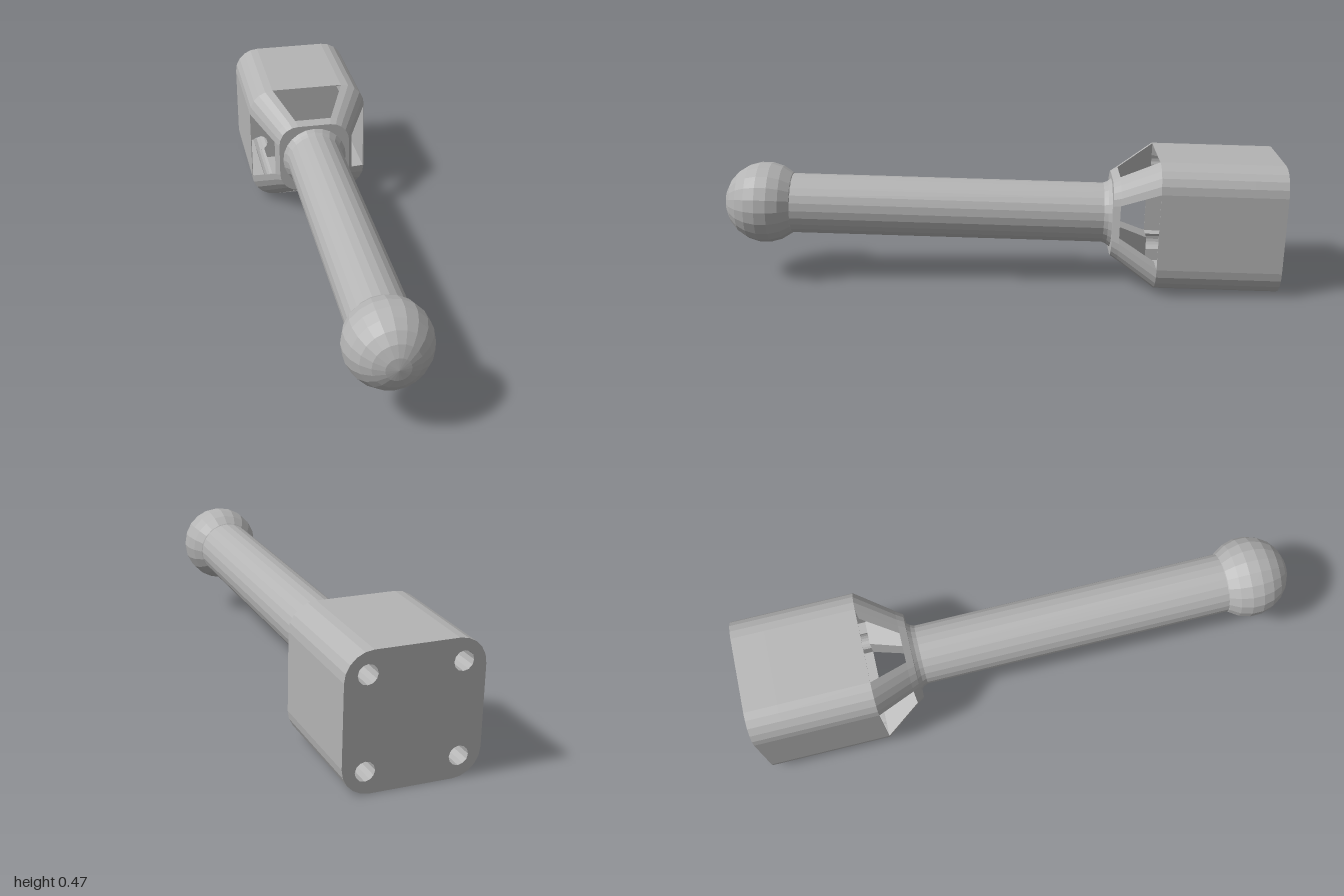
import * as THREE from 'three';

const ARC = 5; // facets per rounded corner
const rot = ([x, y], q) => [[x, y], [-y, x], [-x, -y], [y, -x]][q];
const arc = (cx, cy, r, a0, a1, n) => Array.from({ length: n + 1 }, (_, i) => {
  const a = a0 + (a1 - a0) * i / n;
  return [cx + r * Math.cos(a), cy + r * Math.sin(a)];
});
// Repeat a quarter outline around the axis
const fourfold = (quarter) => [0, 1, 2, 3].flatMap((q) => quarter.map((p) => rot(p, q)));
// Rounded square: half width h, half length of its flat w
const roundedSquare = (h, w) => fourfold(arc(w, w, h - w, 0, Math.PI / 2, ARC));
const vecs = (pts) => pts.map(([x, y]) => new THREE.Vector2(x, y));

function flat(geometry) {
  const g = geometry.index ? geometry.toNonIndexed() : geometry;
  g.computeVertexNormals();
  return g;
}

// Closed solid between two convex outlines, a at the front (zA > zB)
function loft(a, zA, b, zB) {
  const n = a.length, pos = [];
  const mid = (pts) => [0, 1].map((k) => pts.reduce((s, p) => s + p[k], 0) / n);
  const ca = mid(a), cb = mid(b);
  for (let i = 0; i < n; i++) {
    const j = (i + 1) % n;
    const A = [...a[i], zA], A2 = [...a[j], zA], B = [...b[i], zB], B2 = [...b[j], zB];
    pos.push(...B, ...B2, ...A, ...B2, ...A2, ...A);
    pos.push(...ca, zA, ...A, ...A2, ...cb, zB, ...B2, ...B);
  }
  const g = new THREE.BufferGeometry();
  g.setAttribute('position', new THREE.Float32BufferAttribute(pos, 3));
  return flat(g);
}

function extrude(outline, holes, zBack, depth) {
  const shape = new THREE.Shape(vecs(outline));
  holes.forEach((h) => shape.holes.push(new THREE.Path(vecs(h))));
  const g = new THREE.ExtrudeGeometry(shape, { depth, bevelEnabled: false });
  return g.translate(0, 0, zBack);
}

export function createModel() {
  const grey = new THREE.MeshStandardMaterial({ color: 0xb4b4b4, flatShading: true });
  grey.name = 'plain grey';
  const model = new THREE.Group();
  model.name = 'ballEndedHandle';

  // Whole piece hangs off the ball centre, sloping slightly down to the back
  const body = new THREE.Group();
  body.name = 'body';
  body.position.set(0, 0.282, 0.853);
  body.rotation.x = -0.028;
  model.add(body);
  const add = (name, geometry) => {
    const mesh = new THREE.Mesh(geometry, grey);
    mesh.name = name;
    body.add(mesh);
    return mesh;
  };

  // Faceted ball with its poles along the rod
  add('ball', flat(new THREE.SphereGeometry(0.147, 20, 11).rotateX(Math.PI / 2)));

  // Rod with a small flare where it meets the collar
  const rodProfile = [[0.108, -0.05], [0.108, -1.225], [0.114, -1.24], [0.125, -1.254]];
  const rod = new THREE.LatheGeometry(vecs(rodProfile).reverse(), 24);
  add('rod', flat(rod.rotateX(Math.PI / 2)));

  // Collar
  const zCollar = -1.253, zStrut = -1.278, zBlock = -1.408, zPlate = -1.73, zBack = -1.847;
  add('collar', loft(roundedSquare(0.138, 0.063), zCollar, roundedSquare(0.153, 0.07), zStrut));

  // Four corner struts, leaving tapered windows between them
  const wedge = (h, w) => [[w, w], ...arc(w, w, h - w, 0, Math.PI / 2, ARC)];
  for (let q = 0; q < 4; q++) {
    const turn = (pts) => pts.map((p) => rot(p, q));
    add('strut' + (q + 1), loft(turn(wedge(0.153, 0.07)), zStrut, turn(wedge(0.23, 0.137)), zBlock));
  }

  // Block sleeve with a cross-shaped cavity nicked by the bolt holes
  const outline = roundedSquare(0.23, 0.137);
  const w = 0.137, t = 0.227, c = 0.155, r = 0.033;
  const nick = Math.asin((c - w) / r);
  const cavity = fourfold([[t, -w], [t, w], ...arc(c, c, r, -nick, Math.PI / 2 + nick, 8)]);
  add('blockSleeve', extrude(outline, [cavity], zPlate, zBlock - zPlate));

  // Back plate with four bolt holes
  const hole = arc(c, c, r, 0, Math.PI * 2 * 11 / 12, 11);
  const holes = [0, 1, 2, 3].map((q) => hole.map((p) => rot(p, q)));
  add('backPlate', extrude(outline, holes, zBack, zPlate - zBack));

  return model;
}
